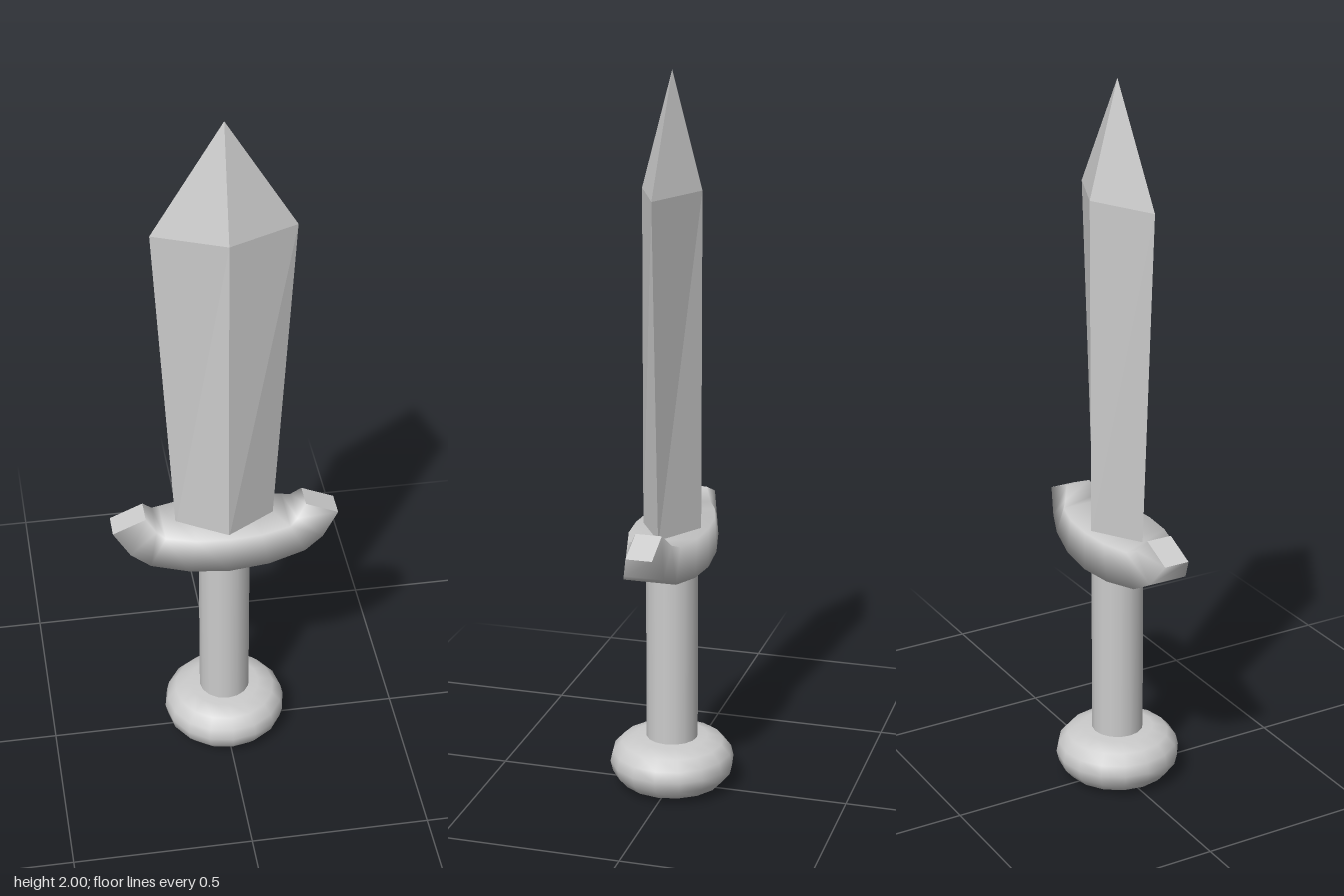
import * as THREE from 'three';

const smooth = new THREE.MeshStandardMaterial({ color: 0xcccccc });
const faceted = new THREE.MeshStandardMaterial({ color: 0xcccccc, flatShading: true });

function part(name, geometry, material = smooth) {
  const mesh = new THREE.Mesh(geometry, material);
  mesh.name = name;
  return mesh;
}

// Diamond-section blade: a four-sided prism whose rows become base, shoulder and tip
function bladeGeometry() {
  const geo = new THREE.CylinderGeometry(1, 1, 2, 4, 2);
  const rows = { '-1': [0.135, 0.082, 0.75], '0': [0.19, 0.082, 1.69], '1': [0, 0, 2] };
  const p = geo.attributes.position;
  for (let i = 0; i < p.count; i++) {
    const [sx, sz, y] = rows[Math.round(p.getY(i))];
    p.setXYZ(i, p.getX(i) * sx, y, p.getZ(i) * sz);
  }
  geo.computeVertexNormals();
  return geo;
}

// Curved guard: four-cornered sections swept from one end to the other, smoothly shaded
function guardGeometry() {
  // lower x, lower y, upper x, upper y, half depth
  const half = [
    [0, 0.655, 0, 0.765, 0.103],
    [0.11, 0.661, 0.09, 0.765, 0.096],
    [0.215, 0.676, 0.172, 0.766, 0.073],
    [0.268, 0.706, 0.195, 0.777, 0.055],
    [0.313, 0.77, 0.222, 0.81, 0.036],
  ];
  const mirrored = half.slice(1).reverse().map(([a, b, c, d, e]) => [-a, b, -c, d, e]);
  const sections = [...mirrored, ...half];
  const pos = [], index = [];
  const corners = ([lx, ly, ux, uy, d]) => [lx, ly, d, ux, uy, d, ux, uy, -d, lx, ly, -d];
  sections.forEach((s) => pos.push(...corners(s)));
  for (let s = 0; s < sections.length - 1; s++) {
    for (let k = 0; k < 4; k++) {
      const a = s * 4 + k, b = s * 4 + (k + 1) % 4;
      index.push(a, a + 4, b, b, a + 4, b + 4);
    }
  }
  // Flat end caps with their own corners
  const c = pos.length / 3;
  pos.push(...corners(sections[0]), ...corners(sections[sections.length - 1]));
  index.push(c, c + 1, c + 2, c, c + 2, c + 3);
  index.push(c + 4, c + 6, c + 5, c + 4, c + 7, c + 6);
  const geo = new THREE.BufferGeometry();
  geo.setAttribute('position', new THREE.Float32BufferAttribute(pos, 3));
  geo.setIndex(index);
  geo.computeVertexNormals();
  return geo;
}

export function createModel() {
  const group = new THREE.Group();
  group.name = 'shortSword';

  group.add(part('blade', bladeGeometry(), faceted));
  group.add(part('guard', guardGeometry()));

  const grip = part('grip', new THREE.CylinderGeometry(0.072, 0.072, 0.56, 16));
  grip.position.y = 0.41;
  group.add(grip);

  // Flattened round pommel
  const profile = [
    [0, 0], [0.1, 0.003], [0.143, 0.017], [0.167, 0.045], [0.174, 0.075],
    [0.167, 0.105], [0.143, 0.132], [0.1, 0.146], [0, 0.148],
  ].map(([r, y]) => new THREE.Vector2(r, y));
  group.add(part('pommel', new THREE.LatheGeometry(profile, 16)));

  return group;
}
